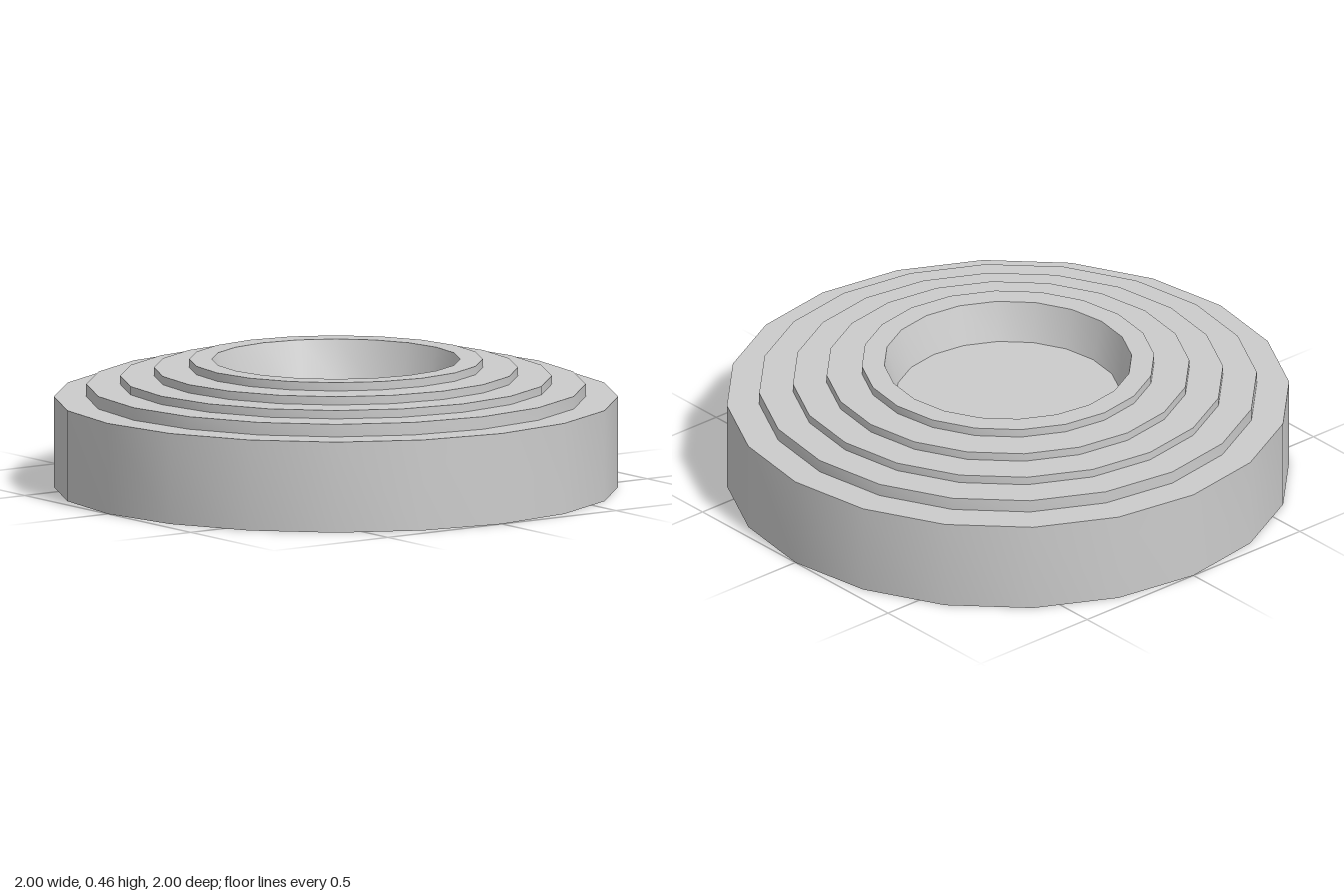
import * as THREE from 'three';
import { toCreasedNormals } from 'three/addons/utils/BufferGeometryUtils.js';

const SIDES = 20;

export function createModel() {
  const group = new THREE.Group();
  group.name = 'steppedDisc';
  const material = new THREE.MeshStandardMaterial({ color: 0xcccccc });

  // Turned part from a profile of [radius, height] pairs
  const turned = (name, profile, crease) => {
    const points = profile.map(([r, y]) => new THREE.Vector2(r, y));
    const mesh = new THREE.Mesh(toCreasedNormals(new THREE.LatheGeometry(points, SIDES), crease), material);
    mesh.name = name;
    group.add(mesh);
  };

  // Outer wall and stepped top: each tier is [radius, top height]
  const tiers = [[1, 0.325], [0.885, 0.37], [0.765, 0.4], [0.645, 0.43], [0.52, 0.46]];
  const top = [];
  let base = 0;
  for (const [r, y] of tiers) {
    top.push([r, base], [r, y]);
    base = y;
  }
  // Tapered recess with a flat floor
  top.push([0.44, 0.46], [0.4, 0.32], [0, 0.32]);
  turned('steppedTop', top, 0.6);

  // Hollow underside: central boss, flat ceiling, sloping wall, bevelled rim
  turned('hollowUnderside', [
    [0, 0.19], [0.313, 0.19], [0.36, 0.235],
    [0.56, 0.235], [0.68, 0.213], [0.8, 0.16], [0.9, 0.095], [0.975, 0.02],
    [0.985, 0], [1, 0],
  ], 0.6);

  return group;
}
